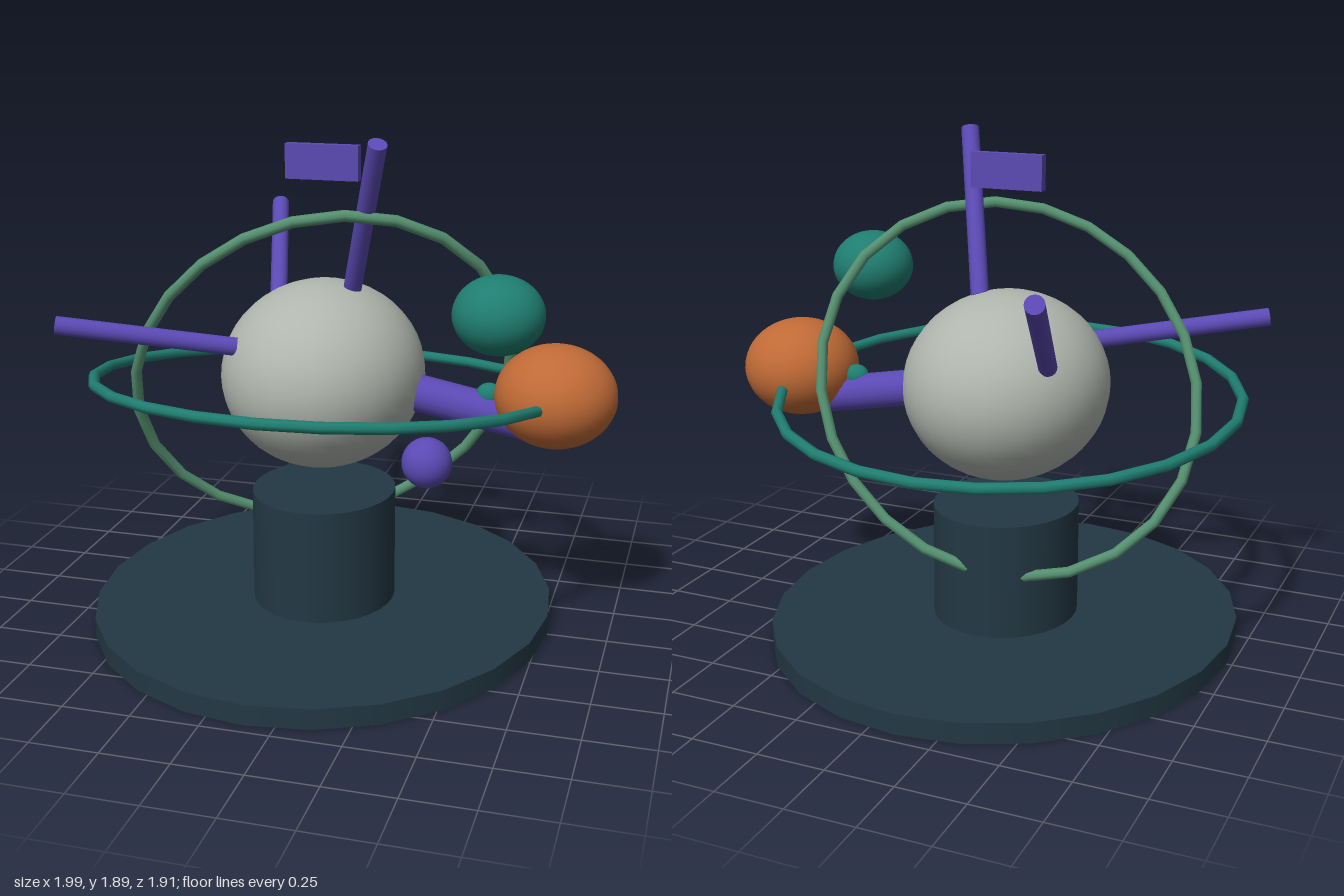
import * as THREE from 'three';

const mat = (name, color, side = THREE.FrontSide) => {
  const m = new THREE.MeshStandardMaterial({ color, side });
  m.name = name;
  return m;
};

export function createModel() {
  const slate = mat('slate', 0x233844);
  const grey = mat('paleGrey', 0xb0b6ae);
  const teal = mat('teal', 0x1f7d70);
  const green = mat('sageGreen', 0x559070);
  const purple = mat('purple', 0x5b49b4);
  const orange = mat('orange', 0xc06a36);

  const model = new THREE.Group();
  model.name = 'orrery';
  const X = -0.102; // shared axis of stand, globe and rings

  const add = (name, geometry, material, x = 0, y = 0, z = 0) => {
    const mesh = new THREE.Mesh(geometry, material);
    mesh.name = name;
    mesh.position.set(x, y, z);
    model.add(mesh);
    return mesh;
  };

  const ball = (name, material, [x, y, z], [rx, ry, rz]) =>
    add(name, new THREE.SphereGeometry(1, 32, 24).scale(rx, ry, rz), material, x, y, z);

  // Straight rod between two points
  const rod = (name, from, to, radius) => {
    const a = new THREE.Vector3(...from);
    const b = new THREE.Vector3(...to);
    const dir = b.clone().sub(a);
    const mesh = add(name, new THREE.CylinderGeometry(radius, radius, dir.length(), 16), purple);
    mesh.position.copy(a).add(b).multiplyScalar(0.5);
    mesh.quaternion.setFromUnitVectors(new THREE.Vector3(0, 1, 0), dir.normalize());
  };

  // Closed orbit tube from a point rule
  const orbit = (name, material, rule) => {
    const points = [];
    for (let i = 0; i < 24; i++) points.push(rule((i / 24) * Math.PI * 2));
    const path = new THREE.CatmullRomCurve3(points, true);
    add(name, new THREE.TubeGeometry(path, 24, 0.021, 8, true), material);
  };

  // Oval stand
  add('basePlate', new THREE.CylinderGeometry(1, 1, 0.076, 24).scale(0.877, 1, 0.957), slate, X, 0.038, 0);
  add('pedestal', new THREE.CylinderGeometry(1, 1, 0.44, 32).scale(0.272, 1, 0.298), slate, X, 0.29, 0);

  // Globe and satellites
  ball('globe', grey, [X, 0.968, 0], [0.38, 0.352, 0.418]);
  ball('orangePlanet', orange, [0.773, 0.945, 0], [0.223, 0.189, 0.223]);
  ball('tealPlanet', teal, [0.607, 1.307, 0.3], [0.16, 0.138, 0.16]);
  ball('smallMoon', purple, [0.4, 0.812, 0.458], [0.087, 0.088, 0.087]);
  ball('armJoint', teal, [0.53, 0.93, 0], [0.05, 0.045, 0.04]);

  // Nearly level orbit, then the upright tilted orbit
  orbit('levelOrbit', teal, (t) => {
    const z = 0.796 * Math.sin(t);
    return new THREE.Vector3(X + 0.872 * Math.cos(t), 0.925 + 0.112 * z, z);
  });
  orbit('uprightOrbit', green, (t) => {
    const x = 0.682 * Math.cos(t);
    const y = 0.65 * Math.sin(t + 0.22);
    return new THREE.Vector3(X + x, 0.957 + y, -0.335 * x + 0.42 * y);
  });

  // Spokes and the thick arm to the orange planet
  rod('leftSpoke', [-0.36, 1.11, 0.24], [-0.965, 1.205, 0.465], 0.034);
  rod('rearSpoke', [-0.36, 1.12, -0.25], [-0.515, 1.465, -0.77], 0.034);
  rod('topSpoke', [0.01, 1.29, 0.005], [0.18, 1.87, 0.3], 0.034);
  rod('planetArm', [0.24, 0.92, 0], [0.69, 0.835, 0], 0.07);

  // Floating plate above the globe
  add('topPlate', new THREE.BoxGeometry(0.275, 0.128, 0.038), purple, X, 1.758, 0);

  return model;
}
